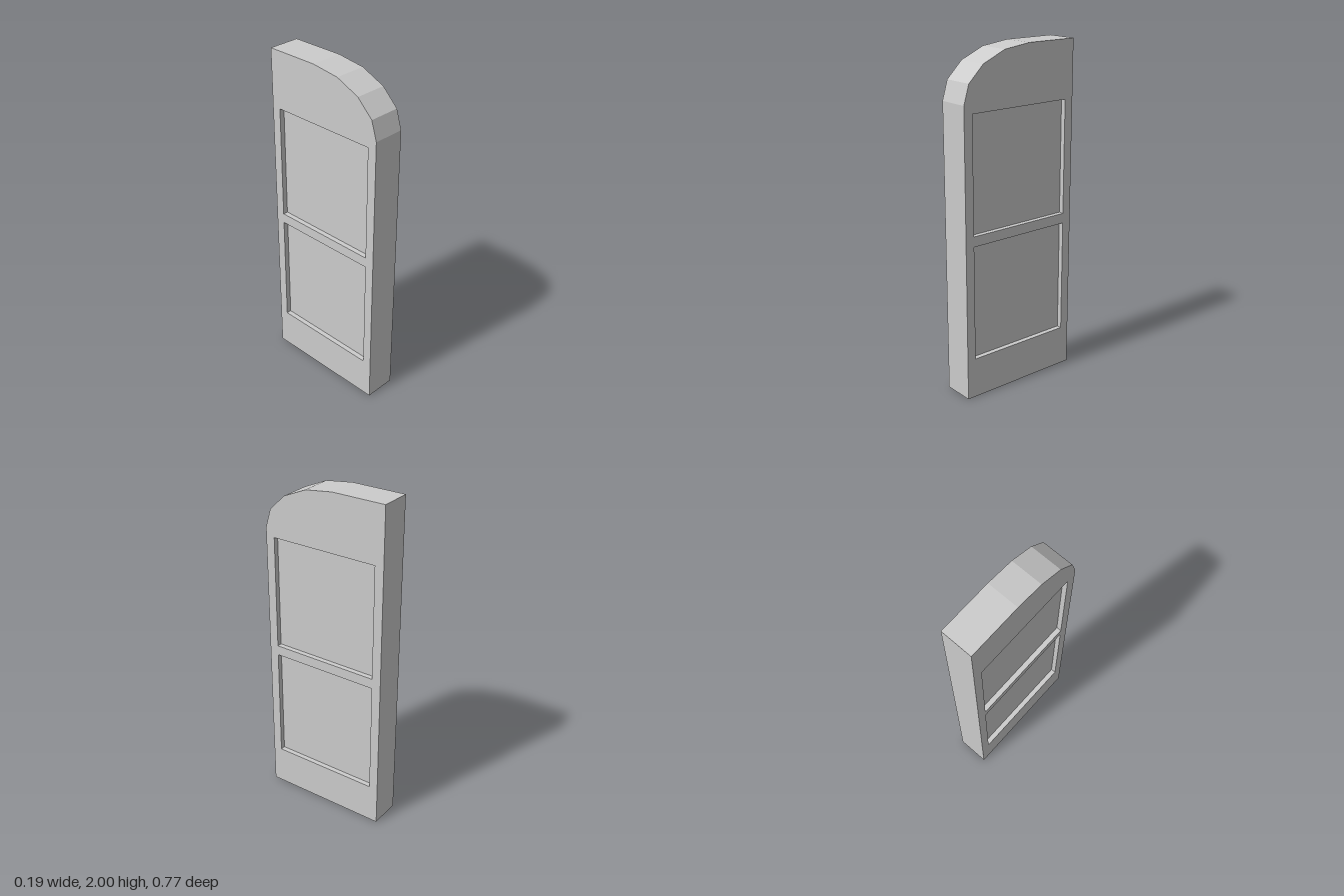
import * as THREE from 'three';

const HALF_Z = 0.385, HEIGHT = 2, THICKNESS = 0.19, RECESS = 0.03;
const PANEL_HALF_Z = 0.33;
const PANELS = [
  { name: 'lowerPanel', bottom: 0.24, top: 0.92 },
  { name: 'upperPanel', bottom: 0.98, top: 1.66 },
];

export function createModel() {
  const group = new THREE.Group();
  group.name = 'archedDoorLeaf';
  const material = new THREE.MeshStandardMaterial({ color: 0xcccccc, flatShading: true });

  // Side outline (shape x becomes z): a slab whose front top corner is a faceted quarter ellipse
  const outline = new THREE.Shape();
  outline.moveTo(-HALF_Z, 0);
  outline.lineTo(HALF_Z, 0);
  const radiusZ = 0.445, radiusY = 0.29, steps = 4;
  for (let i = 0; i <= steps; i++) {
    const a = (i / steps) * Math.PI / 2;
    outline.lineTo(HALF_Z - radiusZ + radiusZ * Math.cos(a), HEIGHT - radiusY + radiusY * Math.sin(a));
  }
  outline.lineTo(-HALF_Z, HEIGHT);
  outline.closePath();

  for (const { name, bottom, top } of PANELS) {
    // Opening in the frame
    const hole = new THREE.Path();
    hole.moveTo(-PANEL_HALF_Z, bottom);
    hole.lineTo(-PANEL_HALF_Z, top);
    hole.lineTo(PANEL_HALF_Z, top);
    hole.lineTo(PANEL_HALF_Z, bottom);
    hole.closePath();
    outline.holes.push(hole);

    // Panel filling the opening, set back on both faces
    const panel = new THREE.Mesh(
      new THREE.BoxGeometry(THICKNESS - 2 * RECESS, top - bottom, 2 * PANEL_HALF_Z), material);
    panel.name = name;
    panel.position.y = (bottom + top) / 2;
    group.add(panel);
  }

  // Frame, extruded through the thickness and turned so the outline lies in the yz plane
  const geometry = new THREE.ExtrudeGeometry(outline, { depth: THICKNESS, bevelEnabled: false });
  geometry.translate(0, 0, -THICKNESS / 2);
  geometry.rotateY(-Math.PI / 2);
  const frame = new THREE.Mesh(geometry, material);
  frame.name = 'doorFrame';
  group.add(frame);

  return group;
}
